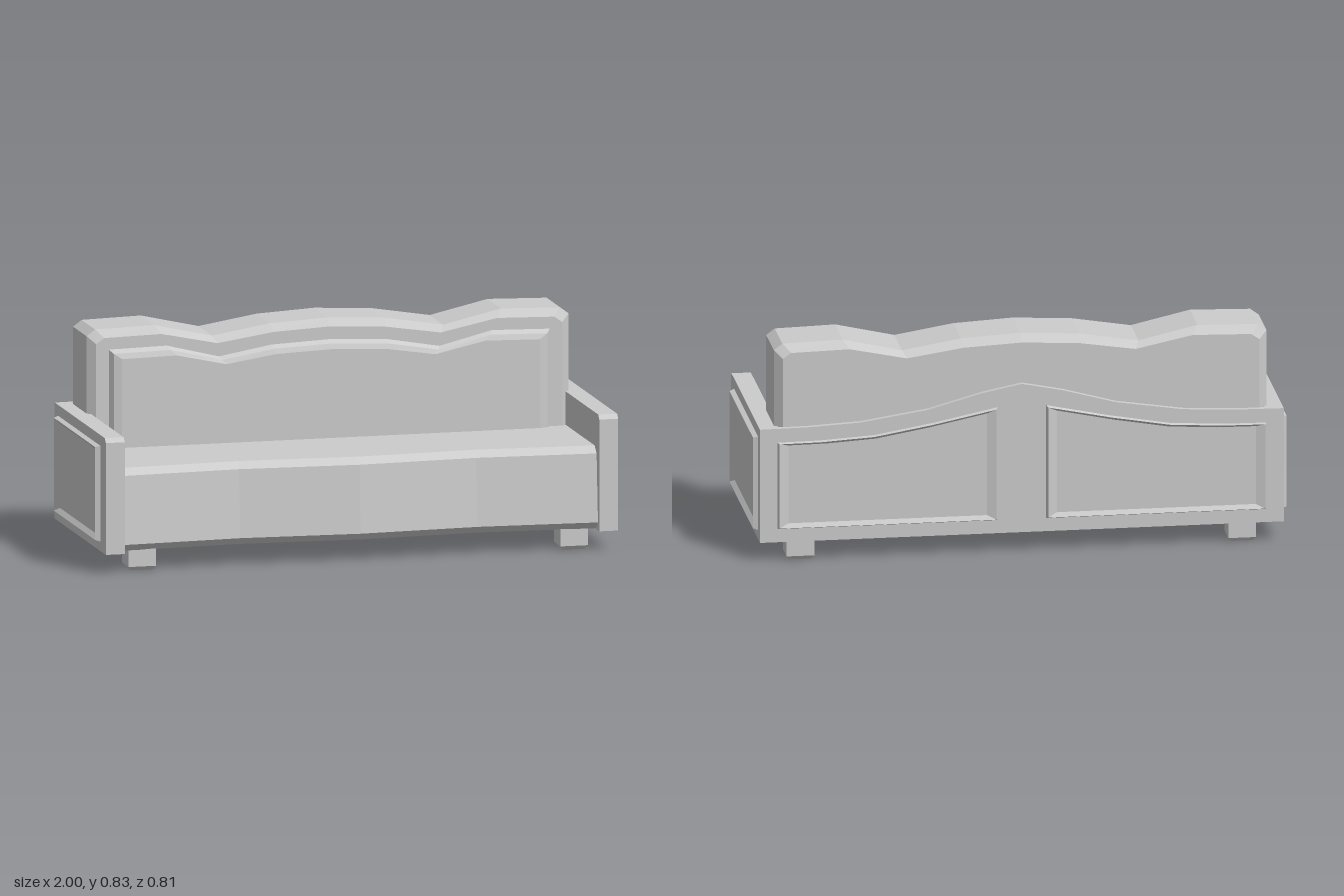
import * as THREE from 'three';

const grey = new THREE.MeshStandardMaterial({ color: 0xcccccc, flatShading: true });
const greyOpen = new THREE.MeshStandardMaterial({ color: 0xcccccc, flatShading: true, side: THREE.DoubleSide });

// Builds a faceted solid facing +z from a counter-clockwise outline.
// Each ring is [insetX, z, insetY]; the ends are capped when asked.
function loft(outline, rings, capBack = true) {
  const xs = outline.map(p => p[0]), ys = outline.map(p => p[1]);
  const x0 = Math.min(...xs), x1 = Math.max(...xs), y0 = Math.min(...ys), y1 = Math.max(...ys);
  const cx = (x0 + x1) / 2, cy = (y0 + y1) / 2, n = outline.length;
  const pos = [], index = [];
  for (const [ix, z, iy = ix] of rings) {
    const kx = 1 - 2 * ix / (x1 - x0), ky = 1 - 2 * iy / (y1 - y0);
    for (const [x, y] of outline) pos.push(cx + (x - cx) * kx, cy + (y - cy) * ky, z);
  }
  for (let r = 0; r < rings.length - 1; r++) {
    for (let i = 0; i < n; i++) {
      const a = r * n + i, b = r * n + (i + 1) % n;
      index.push(a, b, b + n, a, b + n, a + n);
    }
  }
  const faces = THREE.ShapeUtils.triangulateShape(outline.map(p => new THREE.Vector2(...p)), []);
  const last = (rings.length - 1) * n;
  for (const [a, b, c] of faces) {
    index.push(last + a, last + b, last + c);
    if (capBack) index.push(c, b, a);
  }
  return toFlat(pos, index);
}

function toFlat(pos, index) {
  let geo = new THREE.BufferGeometry();
  geo.setAttribute('position', new THREE.Float32BufferAttribute(pos, 3));
  geo.setIndex(index);
  geo = geo.toNonIndexed();
  geo.computeVertexNormals();
  return geo;
}

// Symmetric outline with a shaped top, given from the centre to the right end
function crested(half, bottom) {
  const end = half[half.length - 1][0];
  const mirrored = half.slice(1).reverse().map(([x, y]) => [-x, y]);
  return [[-end, bottom], [end, bottom], ...half.slice().reverse(), ...mirrored.reverse()];
}

function rect(x0, x1, y0, y1) {
  return [[x0, y0], [x1, y0], [x1, y1], [x0, y1]];
}

export function createModel() {
  const model = new THREE.Group();
  model.name = 'sofa';
  const add = (name, geo, material = grey) => {
    const mesh = new THREE.Mesh(geo, material);
    mesh.name = name;
    model.add(mesh);
    return mesh;
  };

  // Backrest cushion with a wavy top and chamfered rim
  const crest = [[0, 0.828], [0.22, 0.816], [0.44, 0.78], [0.66, 0.83], [0.885, 0.824], [0.917, 0.8]];
  add('backrest', loft(crested(crest, 0.3),
    [[0.03, -0.352], [0, -0.325], [0, -0.127], [0.03, -0.102]]));

  // Raised field on the front of the backrest
  const field = [[0, 0.752], [0.22, 0.742], [0.42, 0.707], [0.62, 0.757], [0.84, 0.752]];
  add('backrestPanel', loft(crested(field, 0.33), [[0, -0.104], [0.015, -0.083], [0.045, -0.075, 0.035]], false));

  // Seat shell: a bevelled profile swept along a wavy front, open underneath
  const profile = [[-0.34, 0.385], [-0.05, 0.385], [-0.02, 0.36], [0, 0.105], [-0.03, 0.078]];
  const columns = 20, pos = [], index = [];
  for (let i = 0; i <= columns; i++) {
    const x = -0.903 + 1.806 * i / columns;
    const t = Math.abs(x) / 0.45;
    const front = 0.335 + 0.025 * Math.abs(1 - t);
    profile.forEach(([z, y], j) => pos.push(x, y, j === 0 ? z : front + z));
  }
  const m = profile.length;
  for (let i = 0; i < columns; i++) {
    for (let j = 0; j < m - 1; j++) {
      const a = i * m + j, b = a + m;
      index.push(a, a + 1, b + 1, a, b + 1, b);
    }
  }
  add('seat', toFlat(pos, index), greyOpen);

  // Arms with a framed panel on the outer side
  for (const s of [1, -1]) {
    const side = s > 0 ? 'left' : 'right';
    let outline = [[-0.38, 0.075], [0.355, 0.075], [0.355, 0.51], [-0.364, 0.51], [-0.38, 0.494]];
    if (s < 0) outline = outline.map(([u, v]) => [-u, v]).reverse();
    const arm = add(side + 'Arm', loft(outline, [[0, 0.903], [0, 0.975]]));
    arm.rotation.y = s * Math.PI / 2;

    const panel = add(side + 'ArmPanel', loft(rect(-0.31, 0.31, 0.11, 0.47),
      [[0, 0.974], [0.006, 0.993], [0.045, 0.979, 0.022]], false));
    panel.rotation.y = s * Math.PI / 2;
    panel.position.z = -0.012;
  }

  // Rear board rising to a point in the middle
  const board = [[0, 0.645], [0.15, 0.615], [0.35, 0.56], [0.6, 0.522], [0.8, 0.512], [0.975, 0.51]];
  add('rearBoard', loft(crested(board, 0.075), [[0, 0.347], [0, 0.371]])).rotation.y = Math.PI;

  // Two framed panels on the rear board
  for (const s of [1, -1]) {
    let outline = [[0.09, 0.125], [0.91, 0.125], [0.91, 0.458], [0.75, 0.46], [0.55, 0.472], [0.33, 0.51], [0.09, 0.56]];
    if (s < 0) outline = outline.map(([x, y]) => [-x, y]).reverse();
    add(s > 0 ? 'rearPanelRight' : 'rearPanelLeft', loft(outline,
      [[0, 0.37], [0.006, 0.385], [0.04, 0.374, 0.022]], false)).rotation.y = Math.PI;
  }

  // Square feet with chamfered ends and a hollow underside
  const footGeo = loft(rect(-0.052, 0.052, -0.048, 0.048),
    [[0, -0.15], [0, -0.015], [0.012, 0], [0.022, 0], [0.022, 0.0 - 0.05]]);
  footGeo.rotateX(Math.PI / 2);
  for (const x of [-0.822, 0.822]) {
    for (const z of [0.278, -0.31]) {
      add(z > 0 ? 'frontFoot' : 'rearFoot', footGeo).position.set(x, 0, z);
    }
  }

  // The whole sofa is turned very slightly
  model.rotation.y = -0.023;
  const root = new THREE.Group();
  root.name = 'sofaRoot';
  root.add(model);
  return root;
}
